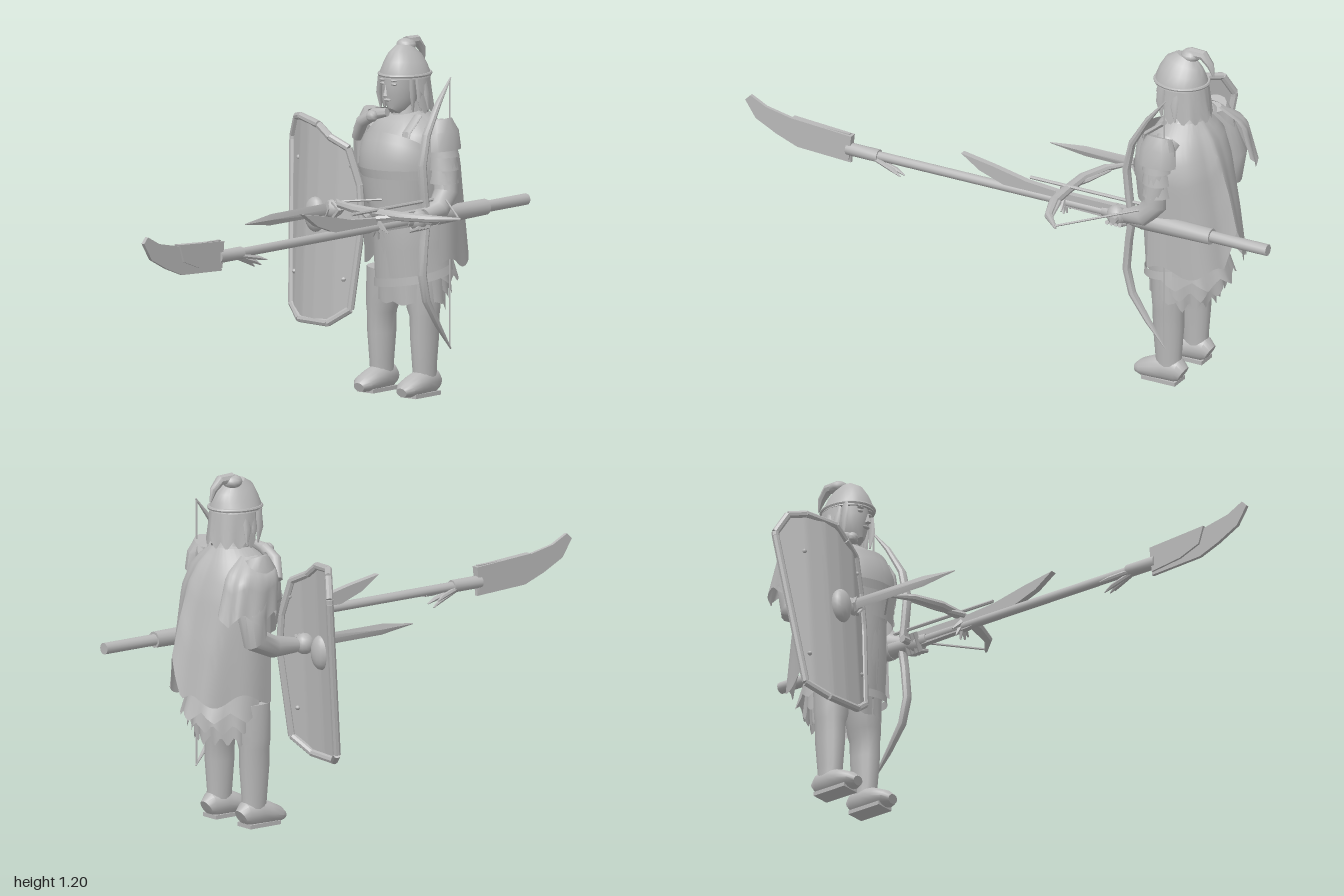
import * as THREE from 'three';
import { toCreasedNormals } from 'three/addons/utils/BufferGeometryUtils.js';
import { ParametricGeometry } from 'three/addons/geometries/ParametricGeometry.js';

const V = (x, y, z) => new THREE.Vector3(x, y, z);
const X = V(1, 0, 0), Y = V(0, 1, 0), Z = V(0, 0, 1);

// Elliptical rings [x, y, z, halfWidth, halfHeight] swept along a path, with closed ends
function sweep(rings, ref = Z, n = 16) {
  const P = rings.map(r => V(r[0], r[1], r[2])), last = P.length - 1, pos = [], idx = [];
  const frames = P.map((p, i) => {
    const t = P[Math.min(i + 1, last)].clone().sub(P[Math.max(i - 1, 0)]).normalize();
    const side = t.clone().cross(ref).normalize();
    return { p, side, up: t.clone().cross(side), w: rings[i][3], h: rings[i][4] ?? rings[i][3] };
  });
  const loops = [{ ...frames[0], w: 0, h: 0 }, ...frames, { ...frames[last], w: 0, h: 0 }];
  loops.forEach((f, s) => {
    for (let k = 0; k < n; k++) {
      const a = k / n * Math.PI * 2, j = (k + 1) % n;
      const q = f.p.clone().addScaledVector(f.side, f.w * Math.cos(a)).addScaledVector(f.up, f.h * Math.sin(a));
      pos.push(q.x, q.y, q.z);
      if (s === loops.length - 1) continue;
      const A = s * n + k, B = s * n + j, C = B + n, D = A + n;
      if (s > 0) idx.push(A, B, C);
      else idx.push(B, C, D);
      if (s > 0 && s < loops.length - 2) idx.push(A, C, D);
    }
  });
  const g = new THREE.BufferGeometry();
  g.setAttribute('position', new THREE.Float32BufferAttribute(pos, 3));
  g.setIndex(idx);
  return g;
}

// Flat blade from [z, y] points, centred on x
function plate(pts, x, thick) {
  const shape = new THREE.Shape(pts.map(p => new THREE.Vector2(p[0], p[1])));
  return new THREE.ExtrudeGeometry(shape, { depth: thick, bevelEnabled: false })
    .rotateY(-Math.PI / 2).translate(x + thick / 2, 0, 0);
}

// Piecewise linear lookup in [key, value] pairs
function lerpTable(t, x) {
  for (let i = 1; i < t.length; i++) if (x <= t[i][0]) {
    const k = (x - t[i - 1][0]) / (t[i][0] - t[i - 1][0]);
    return t[i - 1][1] + Math.max(0, k) * (t[i][1] - t[i - 1][1]);
  }
  return t[t.length - 1][1];
}

// Cloth wrapped around the body: rows are [v, rx, rz, cx, cz], angles in degrees from the front
function wrap(a0, a1, rows, yAt, folds = 0, nu = 40, nv = 8) {
  const col = (v, c) => lerpTable(rows.map(r => [r[0], r[c]]), v);
  return new ParametricGeometry((u, v, out) => {
    const a = THREE.MathUtils.degToRad(a0 + (a1 - a0) * u);
    const f = 1 + folds * (1 - v) * Math.sin(u * 30);
    out.set(col(v, 3) + col(v, 1) * f * Math.sin(a), yAt(u, v), col(v, 4) + col(v, 2) * f * Math.cos(a));
  }, nu, nv);
}

export function createModel() {
  const root = new THREE.Group();
  const grey = new THREE.MeshStandardMaterial({ color: 0xb8b8b8, side: THREE.DoubleSide });
  grey.name = 'plain grey';
  const add = (name, geo, crease = 0.7) => {
    const m = new THREE.Mesh(toCreasedNormals(geo, crease), grey);
    m.name = name;
    root.add(m);
    return m;
  };
  const ball = (name, x, y, z, rx, ry = rx, rz = rx) =>
    add(name, new THREE.SphereGeometry(1, 14, 10).scale(rx, ry, rz).translate(x, y, z));
  const zig = (u, n) => Math.abs(((u * n) % 1) * 2 - 1);

  // Legs and boots
  for (const [x, s] of [[-0.097, -1], [0.09, 1]]) {
    add('leg', sweep([[x, 0.04, -0.575, 0.036, 0.045], [x, 0.1, -0.572, 0.037, 0.047], [x, 0.2, -0.572, 0.044, 0.055],
      [x, 0.27, -0.572, 0.046, 0.056], [x - s * 0.004, 0.3, -0.572, 0.055, 0.06], [x - s * 0.015, 0.42, -0.575, 0.06, 0.07]]));
    add('boot', sweep([[x, 0.035, -0.627, 0.028, 0.03], [x, 0.045, -0.61, 0.038, 0.044], [x, 0.047, -0.56, 0.041, 0.046],
      [x, 0.04, -0.52, 0.043, 0.039], [x, 0.03, -0.475, 0.04, 0.028], [x, 0.022, -0.452, 0.022, 0.016]], Y));
    add('bootSole', new THREE.BoxGeometry(0.07, 0.014, 0.13).translate(x, 0.007, -0.55));
  }

  // Torso and layered skirts
  add('torso', sweep([[0.01, 0.4, -0.58, 0.11, 0.11], [0.01, 0.6, -0.57, 0.115, 0.115], [0.005, 0.7, -0.57, 0.13, 0.125],
    [0.005, 0.8, -0.57, 0.14, 0.125], [0, 0.88, -0.58, 0.145, 0.105], [0, 0.93, -0.585, 0.1, 0.085],
    [0, 0.955, -0.58, 0.05, 0.05], [-0.005, 1, -0.575, 0.04, 0.04]], Z, 24));
  add('underSkirt', wrap(0, 360, [[0, 0.115, 0.1, 0.025, -0.585], [1, 0.115, 0.11, 0.02, -0.585]],
    (u, v) => 0.31 + 0.2 * v + 0.012 * (1 - v) * zig(u, 9), 0.05));
  add('overSkirt', wrap(0, 360, [[0, 0.13, 0.13, 0.025, -0.6], [0.5, 0.125, 0.13, 0.022, -0.588], [1, 0.115, 0.125, 0.015, -0.575]],
    (u, v) => { const h = 0.39 + 0.035 * Math.sin(u * 2 * Math.PI); return h + (0.66 - h) * v; }, 0.02));
  add('skirtHem', wrap(-100, 100, [[0, 0.138, 0.138, 0.025, -0.6], [1, 0.134, 0.136, 0.024, -0.598]],
    (u, v) => 0.36 + 0.055 * u * u + 0.028 * v));
  for (let i = 0; i < 3; i++) add('skirtTail', wrap(85 + i * 10, 275 - i * 8,
    [[0, 0.145 - i * 0.012, 0.175 - i * 0.03, 0.01, -0.59], [1, 0.13, 0.13, 0.01, -0.585]],
    (u, v) => { const h = 0.37 - i * 0.045 + 0.035 * zig(u, 5 + i); return h + (0.52 - h) * v; }, 0.04));

  // Breastplate with an arched top
  add('breastplate', wrap(-85, 85, [[0, 0.135, 0.132, 0.012, -0.563], [0.5, 0.152, 0.146, 0.005, -0.563], [0.75, 0.153, 0.142, 0.005, -0.565], [1, 0.147, 0.122, 0.003, -0.57]],
    (u, v) => { const e = (2 * u - 1) ** 2, b = 0.655 + 0.01 * e; return b + (0.9 - 0.075 * e - b) * v; }));
  add('breastplateBand', wrap(-85, 85, [[0, 0.15, 0.144, 0.01, -0.563], [1, 0.156, 0.15, 0.005, -0.563]],
    (u, v) => 0.745 + 0.03 * v));
  add('strap', sweep([[0.08, 0.85, -0.475, 0.018, 0.008], [0.085, 0.9, -0.485, 0.018, 0.008], [0.08, 0.95, -0.55, 0.018, 0.008]], Z, 8));

  // Cape with a split hem, shoulder folds and clasp
  add('cape', wrap(78, 282, [[0, 0.168, 0.225, 0.015, -0.585], [0.35, 0.172, 0.195, 0.012, -0.585], [0.7, 0.18, 0.15, 0.01, -0.59],
    [0.88, 0.16, 0.115, 0, -0.59], [1, 0.075, 0.075, 0, -0.585]],
  (u, v) => {
    const h = 0.45 + Math.max(0, 0.17 - Math.abs(u - 0.45) * 2.2) + 0.02 * Math.sin(u * 24);
    return h + (0.955 - h) * v;
  }, 0.025, 56, 14));
  add('capeCollar', sweep([[-0.17, 0.855, -0.53, 0.018], [-0.13, 0.915, -0.51, 0.022], [-0.08, 0.945, -0.515, 0.02],
    [-0.03, 0.955, -0.52, 0.014]], Z, 10));
  ball('clasp', -0.075, 0.94, -0.495, 0.02);
  add('shoulderCloth', wrap(160, 380, [[0, 0.075, 0.11, -0.165, -0.655], [0.7, 0.07, 0.1, -0.16, -0.63], [1, 0.03, 0.05, -0.13, -0.6]],
    (u, v) => { const h = 0.72 + 0.05 * zig(u, 3); return h + (0.945 - h) * v; }, 0.06));

  // Arms, shoulder guards and hands
  add('rightArm', sweep([[-0.12, 0.91, -0.59, 0.045], [-0.17, 0.86, -0.62, 0.055], [-0.195, 0.75, -0.66, 0.05], [-0.2, 0.67, -0.65, 0.045],
    [-0.195, 0.635, -0.57, 0.038], [-0.188, 0.625, -0.47, 0.026]], X, 14));
  add('leftArm', sweep([[0.12, 0.91, -0.59, 0.045], [0.165, 0.87, -0.58, 0.045], [0.178, 0.78, -0.575, 0.042], [0.182, 0.7, -0.575, 0.042],
    [0.185, 0.645, -0.53, 0.038], [0.182, 0.63, -0.46, 0.027]], X, 14));
  for (const [s, z] of [[-1, -0.61], [1, -0.575]]) {
    add('shoulderGuard', sweep([[s * 0.175, 0.84, z, 0.045, 0.07], [s * 0.17, 0.9, z, 0.043, 0.064], [s * 0.155, 0.935, z, 0.043, 0.045]], Z, 12));
    ball('hand', s * 0.183, 0.622, -0.425, 0.034, 0.036, 0.035);
  }
  for (let i = 0; i < 3; i++) add('sleeveBand',
    wrap(0, 360, [[0, 0.05, 0.053, 0.172, -0.575], [1, 0.042, 0.046, 0.17, -0.575]], (u, v) => 0.73 + i * 0.045 + 0.05 * v, 0, 16, 2));
  for (let i = 0; i < 4; i++) {
    add('finger', sweep([[0.145, 0.645, -0.45 + i * 0.016, 0.008], [0.175, 0.587, -0.45 + i * 0.016, 0.009], [0.21, 0.6, -0.45 + i * 0.016, 0.008]], Z, 6));
    add('finger', sweep([[-0.17, 0.65, -0.45 + i * 0.016, 0.008], [-0.14, 0.625, -0.45 + i * 0.016, 0.009], [-0.165, 0.598, -0.45 + i * 0.016, 0.008]], Z, 6));
  }

  // Head and face
  add('head', sweep([[-0.005, 0.955, -0.53, 0.018, 0.03], [-0.005, 0.97, -0.54, 0.036, 0.045], [-0.005, 1.0, -0.555, 0.051, 0.064],
    [-0.005, 1.04, -0.562, 0.058, 0.073], [-0.005, 1.1, -0.57, 0.062, 0.078]], Z, 20));
  add('nose', new THREE.ConeGeometry(0.011, 0.036, 6).translate(-0.005, 1.036, -0.483));
  ball('mouth', -0.005, 1.003, -0.49, 0.015, 0.005, 0.008);
  for (const s of [-1, 1]) {
    ball('eye', -0.005 + s * 0.024, 1.057, -0.497, 0.011, 0.005, 0.008);
    ball('eyebrow', -0.005 + s * 0.024, 1.07, -0.496, 0.014, 0.004, 0.009);
  }

  // Helmet with neck curtain, side strips and topknot
  add('helmet', sweep([[0.002, 1.075, -0.575, 0.084, 0.094], [0.002, 1.09, -0.575, 0.08, 0.092], [0, 1.12, -0.578, 0.066, 0.083],
    [-0.004, 1.15, -0.582, 0.047, 0.068], [-0.008, 1.172, -0.588, 0.026, 0.04]], Z, 24));
  add('helmetBrim', new THREE.TorusGeometry(1, 0.06, 6, 28).rotateX(Math.PI / 2).scale(0.082, 0.1, 0.094).translate(0.002, 1.085, -0.575));
  add('neckCurtain', wrap(75, 285, [[0, 0.088, 0.1, 0, -0.58], [1, 0.078, 0.09, 0, -0.576]],
    (u, v) => { const h = 0.95 + 0.03 * zig(u, 8); return h + (1.09 - h) * v; }, 0.03));
  for (const s of [-1, 1]) for (let i = 0; i < 3; i++) add('sideStrip', sweep([[s * 0.068, 1.085, -0.53 - i * 0.03, 0.012, 0.005],
    [s * (0.074 + i * 0.005), 1.02, -0.53 - i * 0.03, 0.015, 0.006], [s * (0.07 + i * 0.009), 0.965, -0.535 - i * 0.03, 0.003, 0.003]], X, 6));
  ball('topknot', -0.014, 1.175, -0.6, 0.034, 0.024, 0.034);
  add('plume', sweep([[-0.012, 1.185, -0.6, 0.02], [-0.012, 1.186, -0.65, 0.018], [-0.01, 1.155, -0.678, 0.013], [-0.01, 1.115, -0.69, 0.003]], X, 8));

  // Shield: a bowed, leaning sheet with a rim, boss and rivets
  const top = [[-0.447, 0.835], [-0.41, 0.905], [-0.36, 0.915], [-0.25, 0.902], [-0.2, 0.865], [-0.13, 0.832], [-0.09, 0.71], [-0.078, 0.6]];
  const bottom = [[-0.447, 0.82], [-0.385, 0.28], [-0.315, 0.24], [-0.18, 0.24], [-0.105, 0.29], [-0.078, 0.58]];
  const depth = [[-0.45, -0.495], [-0.36, -0.425], [-0.3, -0.395], [-0.24, -0.385], [-0.16, -0.39], [-0.08, -0.425]];
  const onShield = (x, y) => [x, y, lerpTable(depth, x) - 0.04 * (y - 0.24) / 0.68];
  const half = u => -0.447 + 0.369 * u;
  add('shield', new ParametricGeometry((u, v, out) => {
    const x = half(u), b = lerpTable(bottom, x);
    out.set(...onShield(x, b + (lerpTable(top, x) - b) * v));
  }, 48, 6), 0.9);
  const edge = [...top, ...bottom.slice().reverse(), top[0]];
  for (let i = 1; i < edge.length; i++)
    add('shieldRim', sweep([edge[i - 1], edge[i]].map(p => [...onShield(...p), 0.013]), X, 8));
  ball('shieldBoss', -0.247, 0.6, -0.405, 0.043, 0.06, 0.03);
  for (const [x, y] of [[-0.37, 0.775], [-0.37, 0.39], [-0.12, 0.775], [-0.13, 0.39]]) {
    const p = onShield(x, y);
    ball('shieldRivet', p[0], p[1], p[2], 0.008);
  }

  // Short sword held past the shield
  add('swordBlade', sweep([[-0.187, 0.625, -0.42, 0.007, 0.02], [-0.187, 0.625, -0.1, 0.007, 0.019], [-0.187, 0.625, 0.035, 0.001, 0.002]], Y, 4));
  add('swordGuard', sweep([[-0.187, 0.625, -0.4, 0.013, 0.026], [-0.187, 0.625, -0.385, 0.013, 0.026]], Y, 4));

  // Bow and its string
  add('bow', sweep([[1.083, -0.607, 0.003], [1.0, -0.54, 0.012], [0.9, -0.48, 0.016], [0.8, -0.458, 0.017], [0.7, -0.468, 0.017], [0.62, -0.48, 0.018],
    [0.54, -0.468, 0.017], [0.43, -0.458, 0.017], [0.34, -0.48, 0.016], [0.25, -0.54, 0.012], [0.163, -0.607, 0.003]]
    .reverse().map(([y, z, r]) => [0.175, y, z, r, r * 0.8]), Z, 8));
  add('bowString', sweep([[0.175, 0.17, -0.603, 0.003], [0.175, 1.078, -0.603, 0.003]], Z, 5));

  // Polearm: shaft, grip, socket, broad blade and spikes
  const px = 0.175, py = 0.622;
  const rod = (name, z0, z1, r0, r1 = r0) => add(name, sweep([[px, py, z0, r0], [px, py, z1, r1]], Y, 12));
  rod('shaft', -0.7, 0.52, 0.016);
  rod('shaftEnd', -1, -0.76, 0.02);
  rod('grip', -0.785, -0.52, 0.028, 0.032);
  rod('gripCollar', -0.52, -0.37, 0.03, 0.019);
  rod('socket', 0.49, 0.61, 0.022);
  add('bladeBase', plate([[0.59, 0.675], [0.82, 0.69], [0.8, 0.63], [0.72, 0.6], [0.6, 0.585]], px, 0.026));
  add('blade', plate([[0.595, 0.575], [0.8, 0.585], [0.88, 0.615], [0.96, 0.655], [1.0, 0.715], [0.98, 0.735], [0.92, 0.705], [0.82, 0.685], [0.6, 0.68]], px, 0.012));
  for (const [dx, dy] of [[-0.042, -0.03], [0.042, -0.03], [-0.015, -0.058], [0.015, -0.05]])
    add('spike', sweep([[px + dx, py + dy, 0.4, 0.002], [px + dx * 0.7, py + dy * 0.7, 0.43, 0.008], [px + dx * 0.2, py + dy * 0.2, 0.51, 0.008]], Y, 6));

  // Crossbow: stock with a curved horn, bowed limbs, string and pegs
  add('crossbowHorn', plate([[-0.52, 0.6], [-0.2, 0.607], [0, 0.63], [0.1, 0.665], [0.17, 0.712], [0.05, 0.692], [-0.08, 0.665], [-0.2, 0.655], [-0.52, 0.655]], px, 0.022));
  const limb = [[0, -0.232, 0.016], [0.1, -0.235, 0.016], [0.2, -0.27, 0.013], [0.27, -0.335, 0.004]];
  for (const s of [-1, 1]) {
    add('crossbowLimb', sweep(limb.map(([d, z, r]) => [px + s * d, 0.668 - s * d * 0.02, z, r * 1.1, r]), Y, 8));
    add('crossbowString', sweep([[px + s * 0.265, 0.668, -0.33, 0.004], [px + s * 0.045, 0.68, -0.53, 0.004]], Y, 5));
    add('crossbowPeg', sweep([[px, py, -0.435, 0.013], [px + s * 0.055, py, -0.435, 0.013]], Y, 8));
    add('crossbowBrace', sweep([[px + s * 0.015, 0.655, -0.2, 0.01], [px + s * 0.1, 0.665, -0.255, 0.008], [px + s * 0.2, 0.665, -0.285, 0.004]], Y, 6));
  }
  add('crossbowSight', sweep([[px, 0.68, -0.54, 0.006], [px, 0.68, -0.09, 0.006]], Y, 6));
  for (let i = 0; i < 5; i++) {
    const a = (i - 2) * 0.5;
    add('crossbowFrill', sweep([[px, 0.64, -0.22, 0.014], [px + Math.sin(a) * 0.05, 0.63 - Math.cos(a) * 0.05, -0.23, 0.003]], Z, 5));
  }
  return root;
}
